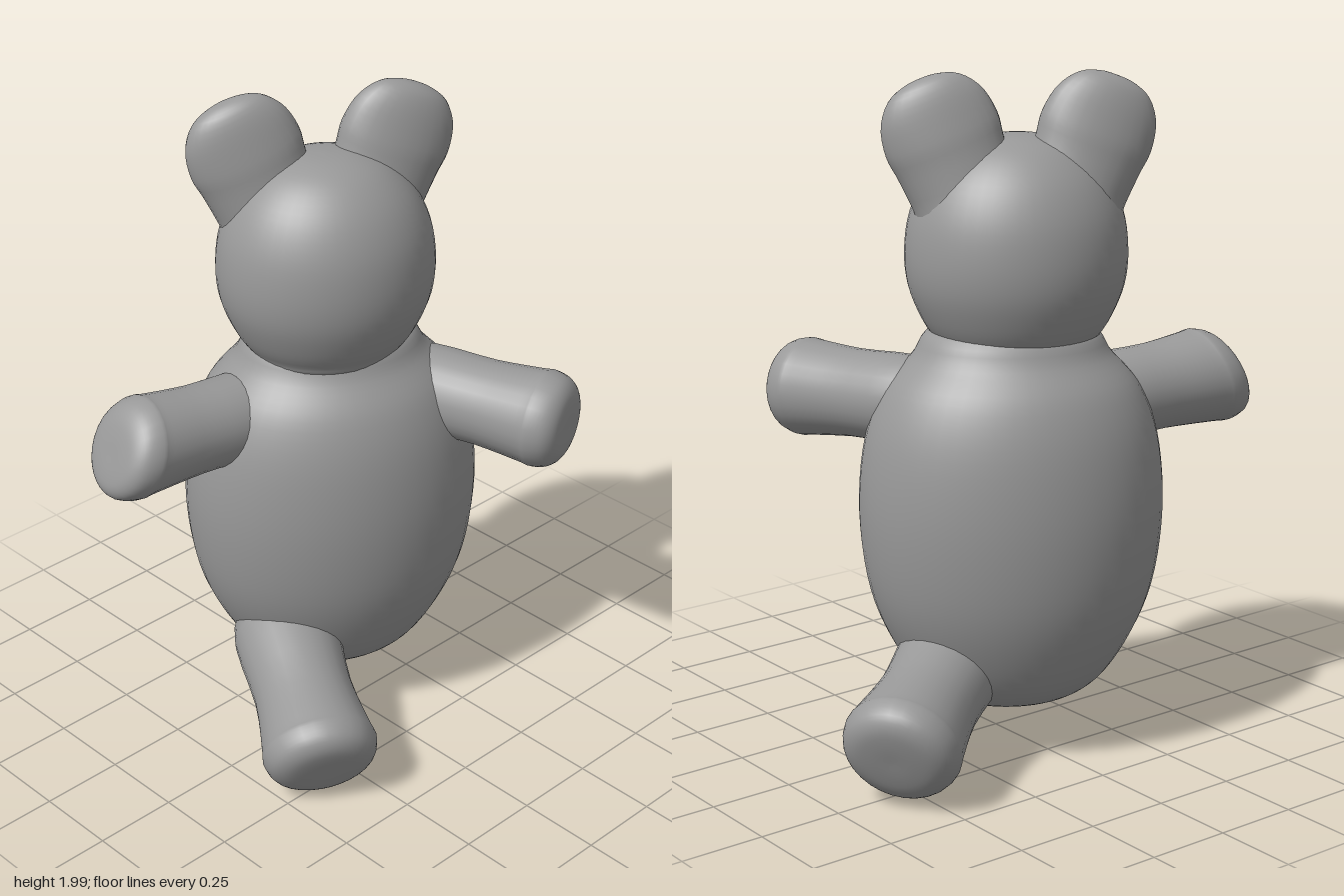
import * as THREE from 'three';
import { mergeVertices } from 'three/addons/utils/BufferGeometryUtils.js';

const V = (x, y, z) => new THREE.Vector3(x, y, z);
const material = new THREE.MeshStandardMaterial({ color: 0x999999 });
const YAW = -0.49; // the figure sits turned to its right

// Seamless smooth surface of revolution through [radius, height] points
function turned(points, rows, segments, rule) {
  const curve = new THREE.SplineCurve(points.map(([r, y]) => new THREE.Vector2(r, y)));
  const profile = curve.getPoints(rows);
  profile.forEach(p => { p.x = Math.max(0, p.x); });
  let geo = new THREE.LatheGeometry(profile, segments);
  geo.deleteAttribute('uv');
  geo.deleteAttribute('normal');
  if (rule) {
    const pos = geo.attributes.position, v = V(0, 0, 0);
    for (let i = 0; i < pos.count; i++) {
      rule(v.fromBufferAttribute(pos, i));
      pos.setXYZ(i, v.x, v.y, v.z);
    }
  }
  geo = mergeVertices(geo, 1e-4);
  geo.computeVertexNormals();
  return geo;
}

function part(name, geo) {
  const mesh = new THREE.Mesh(geo, material);
  mesh.name = name;
  return mesh;
}

// Stub limb with a blunt end; radii run from root to tip, slant leans the end face
function limb(name, from, to, [a, b, c], slant) {
  const axis = to.clone().sub(from), len = axis.length();
  axis.normalize();
  const side = axis.clone().cross(V(0, 1, 0)).normalize();
  const up = side.clone().cross(axis);
  const points = [
    [0, 0], [a, 0.01], [b, len * 0.5], [c * 0.97, len - 0.12], [c, len - 0.08],
    [c * 0.9, len - 0.034], [c * 0.68, len - 0.008], [c * 0.36, len], [0, len],
  ];
  const geo = turned(points, 32, 28, v => {
    v.y += slant * v.z * Math.pow(Math.max(0, v.y / len), 2);
  });
  geo.applyMatrix4(new THREE.Matrix4().makeBasis(side, axis, up).setPosition(from));
  return part(name, geo);
}

export function createModel() {
  const model = new THREE.Group();
  model.name = 'toyBear';

  // Torso: egg-shaped, wider than deep
  const body = part('body', turned([
    [0, 0.155], [0.32, 0.162], [0.58, 0.22], [0.79, 0.35], [0.94, 0.52], [1, 0.74],
    [0.96, 0.95], [0.84, 1.1], [0.65, 1.2], [0.5, 1.28], [0, 1.3],
  ], 48, 48));
  body.scale.set(0.445, 1, 0.352);
  body.position.set(0.04, 0, -0.125);
  body.rotation.y = YAW;
  model.add(body);

  // Head with ears, turned together
  const headGroup = new THREE.Group();
  headGroup.name = 'headGroup';
  headGroup.position.set(0.02, 0, -0.12);
  headGroup.rotation.y = YAW;
  const head = part('head', turned([
    [0, 1.21], [0.62, 1.215], [0.74, 1.25], [0.86, 1.31], [0.97, 1.4], [1, 1.5],
    [0.95, 1.61], [0.8, 1.71], [0.56, 1.785], [0.28, 1.822], [0, 1.83],
  ], 40, 48));
  head.scale.set(0.32, 1, 0.285);
  headGroup.add(head);

  // Ears: flattened paddles leaning outward
  const earGeo = turned([
    [0, 0], [0.15, 0.01], [0.152, 0.12], [0.16, 0.22], [0.168, 0.29],
    [0.152, 0.37], [0.108, 0.428], [0.05, 0.452], [0, 0.456],
  ], 28, 28, v => {
    // thicker towards the root, where the ear runs into the head
    v.z *= 0.46 + 0.5 * Math.pow(Math.max(0, 1 - v.y / 0.38), 1.5);
  });
  for (const s of [1, -1]) {
    const ear = part(s > 0 ? 'leftEar' : 'rightEar', earGeo);
    ear.position.set(s * 0.115, 1.565, -0.045);
    ear.rotation.z = -s * 0.37;
    headGroup.add(ear);
  }
  model.add(headGroup);

  // Arms
  const armRadii = [0.12, 0.13, 0.146];
  model.add(limb('leftArm', V(0.24, 1.06, 0), V(0.405, 1.045, 0.5), armRadii, 0));
  model.add(limb('rightArm', V(-0.14, 1.04, -0.2), V(-0.685, 1.07, -0.265), armRadii, -0.35));

  // Legs
  const legRadii = [0.15, 0.148, 0.172];
  model.add(limb('leftLeg', V(0.17, 0.32, -0.05), V(0.653, 0.175, -0.375), legRadii, 0.15));
  model.add(limb('rightLeg', V(-0.16, 0.32, -0.14), V(-0.435, 0.15, 0.35), legRadii, 0.15));

  return model;
}
